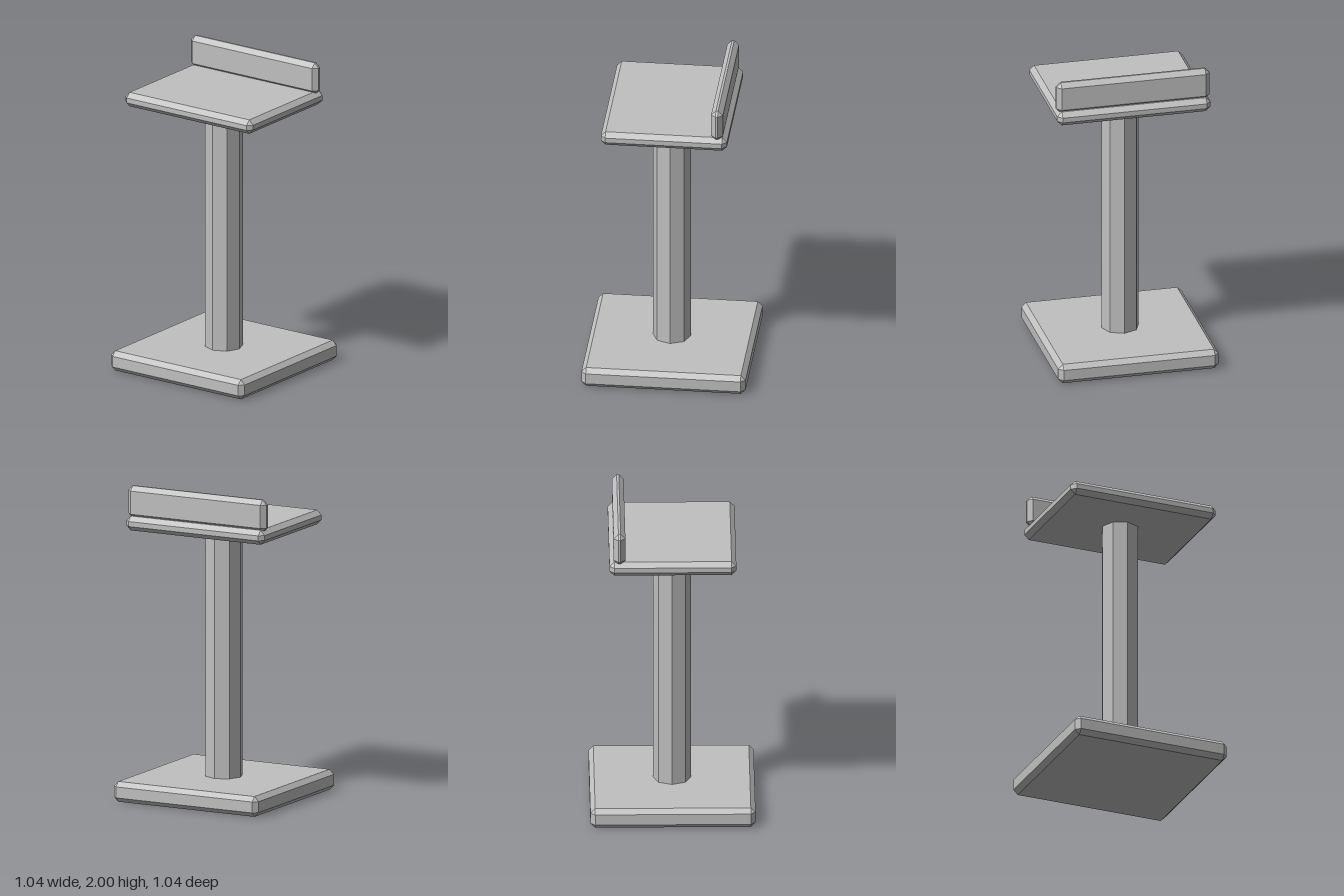
import * as THREE from 'three';
import { ConvexGeometry } from 'three/addons/geometries/ConvexGeometry.js';

const BEVEL = 0.03;

// Box with every edge and corner cut flat, as the hull of its 24 corner points
function chamferedBox(width, height, depth, bevel = BEVEL) {
  const half = [width / 2, height / 2, depth / 2];
  const points = [];
  for (const sx of [-1, 1]) for (const sy of [-1, 1]) for (const sz of [-1, 1]) {
    for (let axis = 0; axis < 3; axis++) {
      const [x, y, z] = half.map((h, i) => (i === axis ? h : h - bevel));
      points.push(new THREE.Vector3(sx * x, sy * y, sz * z));
    }
  }
  return new ConvexGeometry(points);
}

export function createModel() {
  const model = new THREE.Group();
  model.name = 'pedestalStool';

  const grey = new THREE.MeshStandardMaterial({ color: 0xc0c0c0, flatShading: true });
  grey.name = 'light grey';

  function add(name, geometry, y, z = 0) {
    const mesh = new THREE.Mesh(geometry, grey);
    mesh.name = name;
    mesh.position.set(0, y, z);
    model.add(mesh);
  }

  // Square foot plate
  add('base', chamferedBox(1.036, 0.13, 1.036), 0.065);
  // Eight-sided column, ends sunk into the plates
  add('column', new THREE.CylinderGeometry(0.12, 0.12, 1.64, 8), 0.92);
  // Seat slab
  add('seat', chamferedBox(0.99, 0.092, 0.796), 1.764);
  // Low backrest along the rear edge
  add('backrest', chamferedBox(0.99, 0.208, 0.074), 1.896, -0.335);

  return model;
}
